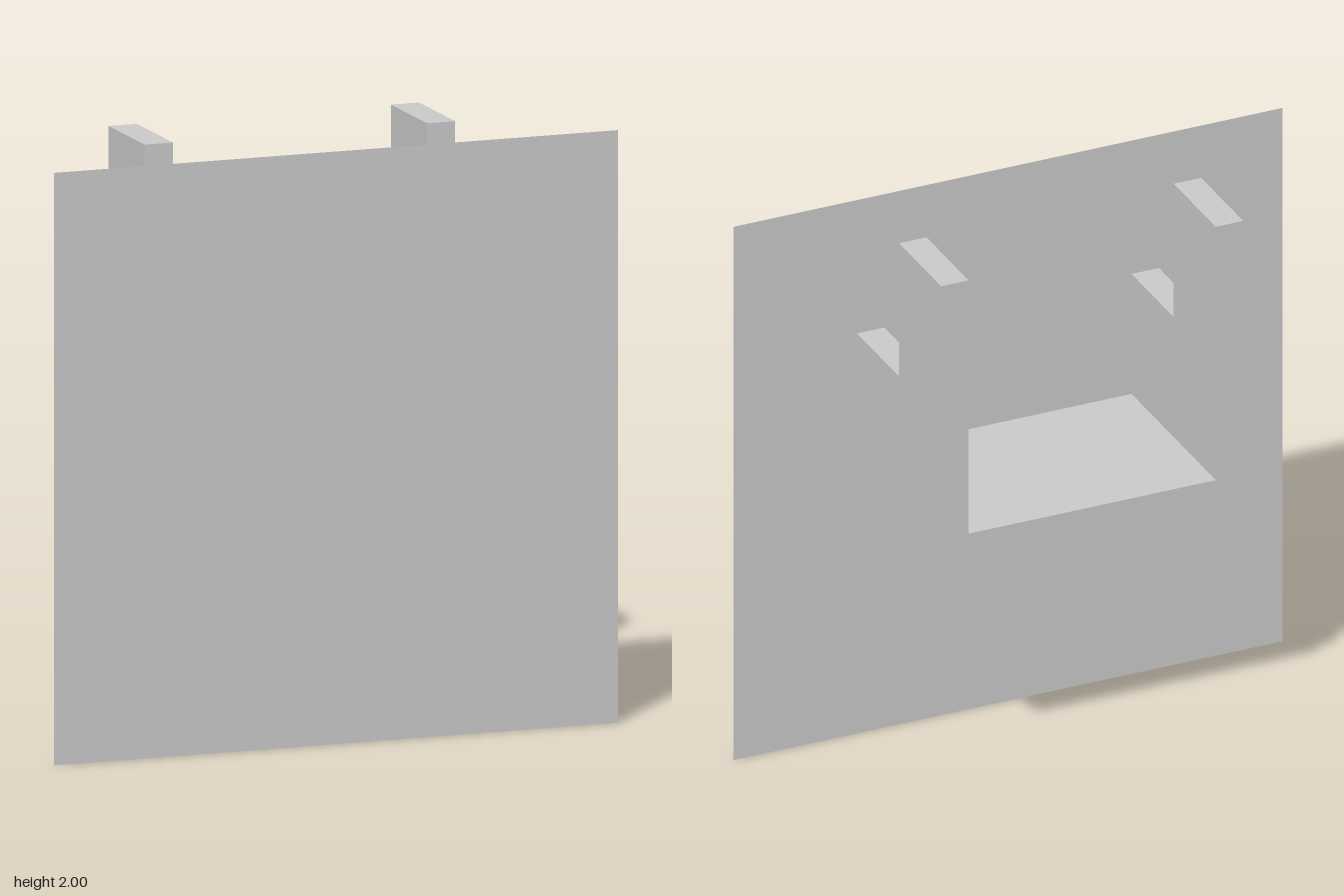
import * as THREE from 'three';

export function createModel() {
  const group = new THREE.Group();
  const material = new THREE.MeshStandardMaterial({ color: 0xcccccc, flatShading: true });
  const half = 1 / 3; // half depth of the seat

  const add = (name, geometry, x, y, z, mat = material) => {
    const mesh = new THREE.Mesh(geometry, mat);
    mesh.name = name;
    mesh.position.set(x, y, z);
    group.add(mesh);
    return mesh;
  };

  // Thin square panel across the front
  const panelMaterial = material.clone();
  panelMaterial.side = THREE.DoubleSide;
  add('frontPanel', new THREE.PlaneGeometry(2, 2), 0, 1, half, panelMaterial);

  // Floor slab, set halfway into the side walls
  add('floor', new THREE.BoxGeometry(1, 0.1, 2 * half), 0, 1, 0);

  // L-shaped side walls: low at the front, tall at the back.
  // The profile's x runs towards the back.
  const profile = new THREE.Shape([
    [-half, 1], [half, 1], [half, 2], [0, 2], [0, 1.5], [-half, 1.5],
  ].map(([x, y]) => new THREE.Vector2(x, y)));
  const wall = new THREE.ExtrudeGeometry(profile, { depth: 0.1, bevelEnabled: false });
  wall.translate(0, 0, -0.05);
  wall.rotateY(Math.PI / 2);
  add('leftWall', wall, 0.5, 0, 0);
  add('rightWall', wall, -0.5, 0, 0);

  return group;
}
